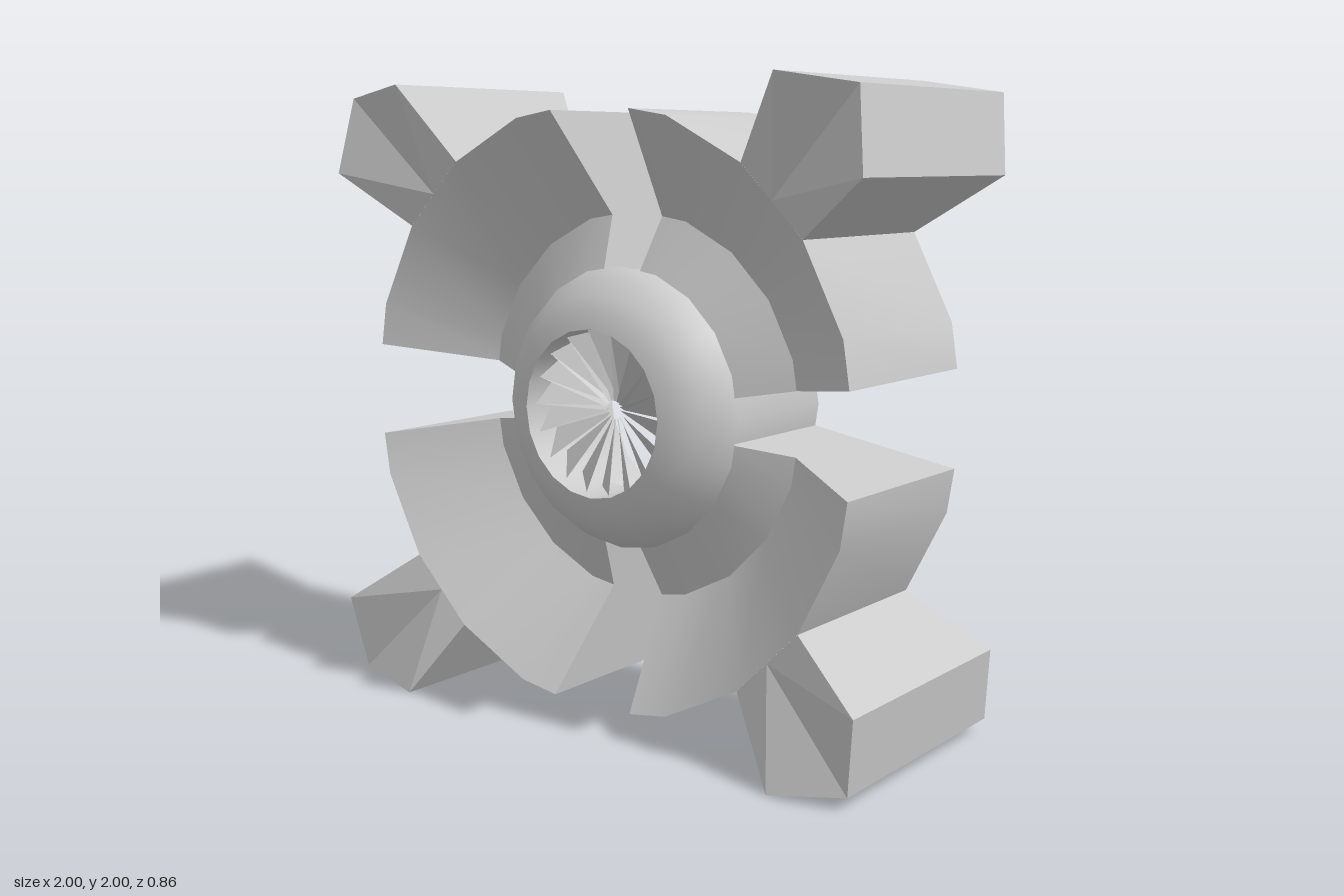
import * as THREE from 'three';
import { toCreasedNormals } from 'three/addons/utils/BufferGeometryUtils.js';

const SIDES = 20;
const rad = THREE.MathUtils.degToRad;
const material = new THREE.MeshStandardMaterial({ color: 0xcccccc, side: THREE.DoubleSide });

// Geometry from a list of polygons, each fanned from its first corner
function fromPolygons(polygons, crease = 0.5) {
  const pos = [];
  for (const p of polygons) {
    for (let i = 1; i < p.length - 1; i++) pos.push(...p[0], ...p[i], ...p[i + 1]);
  }
  const g = new THREE.BufferGeometry();
  g.setAttribute('position', new THREE.Float32BufferAttribute(pos, 3));
  return toCreasedNormals(g, crease);
}

function addMesh(parent, name, geometry) {
  const mesh = new THREE.Mesh(geometry, material);
  mesh.name = name;
  parent.add(mesh);
  return mesh;
}

// Point on a 20-sided ring at any angle, staying on the flat sides
function ringPoint(deg, r, z) {
  const off = (deg % 18) - 9;
  const k = r * Math.cos(rad(9)) / Math.cos(rad(off));
  return [k * Math.cos(rad(deg)), k * Math.sin(rad(deg)), z];
}

// Hollow quarter shell, open at the back and where the arm grows out
function shellGeometry() {
  const angles = [9.4, 18, 36, 54, 72, 80.6];
  const profile = [[0.937, -0.28], [0.937, 0.33], [0.61, 0.1], [0.43, 0.18], [0.43, -0.28]];
  const polys = [];
  for (let j = 0; j < 3; j++) {
    for (let i = 0; i < angles.length - 1; i++) {
      if (j === 0 && i === 2) continue;
      polys.push([
        ringPoint(angles[i], ...profile[j]), ringPoint(angles[i + 1], ...profile[j]),
        ringPoint(angles[i + 1], ...profile[j + 1]), ringPoint(angles[i], ...profile[j + 1]),
      ]);
    }
  }
  // End walls beside the gaps, fanned from the inner kink of the profile
  const order = [2, 3, 4, 0, 1];
  const end = (deg) => order.map((n) => ringPoint(deg, ...profile[n]));
  polys.push(end(9.4), end(80.6).reverse());
  // reversing moves the fan start, so rotate the kink back to the front
  const last = polys[polys.length - 1];
  last.unshift(last.pop());
  return fromPolygons(polys);
}

// Flared five-sided arm: valley on the front, ridge on the back
function armGeometry() {
  const outline = [
    // x, y, front z, back z
    [0.758, 0.551, 0.33, -0.28],
    [1.0, 0.72, 0.425, -0.38],
    [0.962, 0.962, 0.385, -0.43],
    [0.72, 1.0, 0.425, -0.38],
    [0.551, 0.758, 0.33, -0.28],
    [0.6545, 0.6545, 0.33, -0.28],
  ];
  const f = outline.map(([x, y, z]) => [x, y, z]);
  const b = outline.map(([x, y, , z]) => [x, y, z]);
  const polys = [
    [f[5], f[0], f[1], f[2]], [f[5], f[2], f[3], f[4]],
    [b[5], b[2], b[1], b[0]], [b[5], b[4], b[3], b[2]],
  ];
  for (let i = 0; i < 4; i++) polys.push([b[i], b[i + 1], f[i + 1], f[i]]);
  return fromPolygons(polys, 0.1);
}

// Ring of pitched blades around a small open centre
function bladesGeometry() {
  const count = 18, step = 360 / count;
  const at = (deg, r, z) => [r * Math.cos(rad(deg)), r * Math.sin(rad(deg)), z];
  const polys = [];
  for (let i = 0; i < count; i++) {
    const a = i * step, b = a + step * 1.15;
    polys.push([at(a, 0.03, 0.2), at(a - 4, 0.256, 0.2), at(b - 4, 0.256, 0.29), at(b, 0.03, 0.22)]);
  }
  return fromPolygons(polys, 0.01);
}

// Turned part about the z axis
function turned(points) {
  const g = new THREE.LatheGeometry(points.map(([r, z]) => new THREE.Vector2(r, z)), SIDES);
  return g.rotateX(Math.PI / 2);
}

export function createModel() {
  const model = new THREE.Group();
  model.name = 'ringHub';
  const body = new THREE.Group();
  body.name = 'body';
  body.position.y = 1;
  model.add(body);

  // Four quarters, each a shell with its arm
  const shell = shellGeometry();
  const arm = armGeometry();
  for (let i = 0; i < 4; i++) {
    const quarter = new THREE.Group();
    quarter.name = 'quarter' + (i + 1);
    quarter.rotation.z = i * Math.PI / 2;
    addMesh(quarter, 'shell', shell);
    addMesh(quarter, 'arm', arm);
    body.add(quarter);
  }

  // Centre
  addMesh(body, 'innerTube', turned([[0.43, -0.28], [0.43, 0.18]]));
  addMesh(body, 'dome', turned([[0.43, 0.17], [0.442, 0.18], [0.41, 0.235], [0.36, 0.285], [0.31, 0.315], [0.26, 0.33]]));
  addMesh(body, 'bladeHousing', turned([[0.26, 0.33], [0.256, 0.15]]));
  addMesh(body, 'blades', bladesGeometry());
  return model;
}
